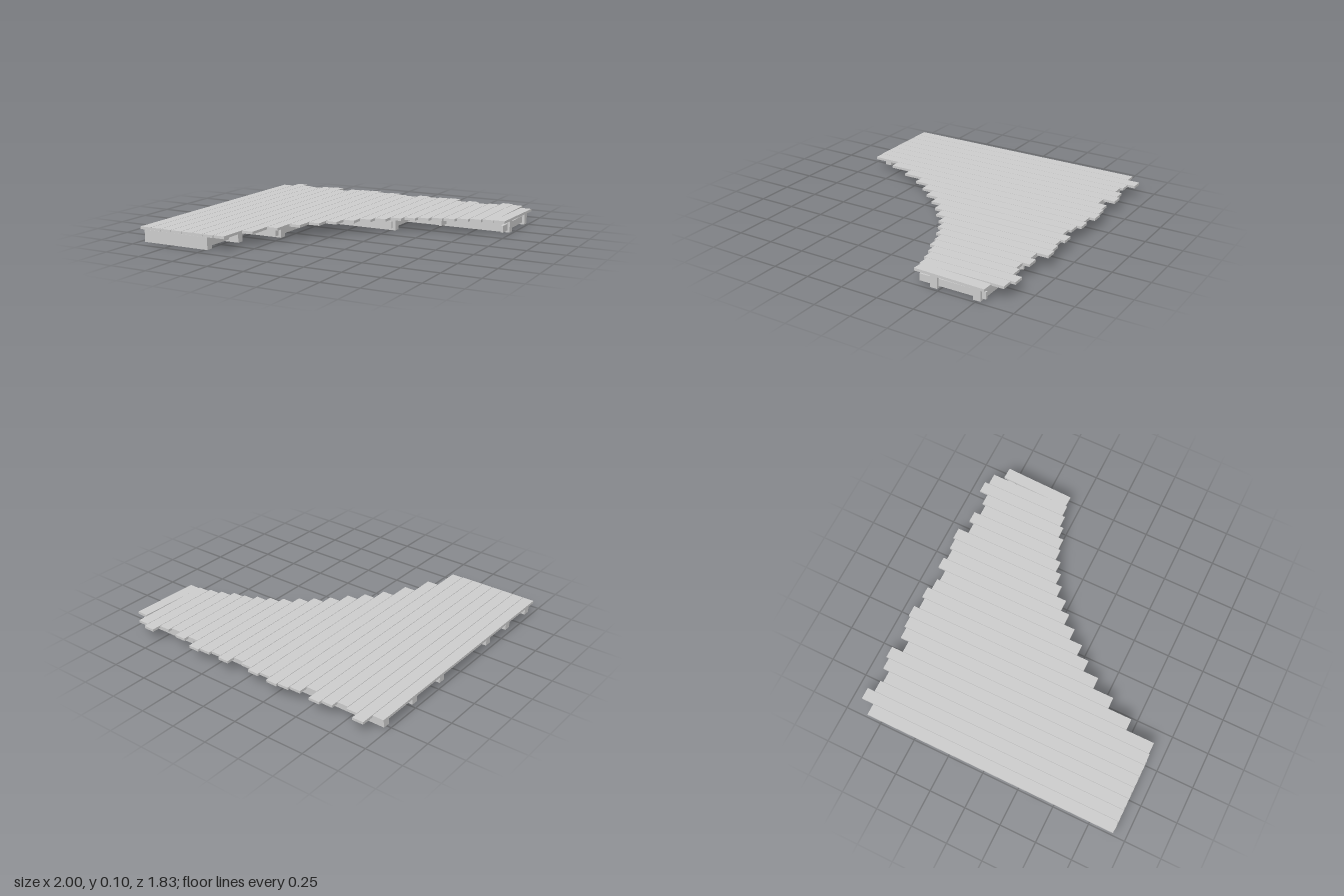
import * as THREE from 'three';

export function createModel() {
  const deck = new THREE.Group();
  deck.name = 'deck';
  const material = new THREE.MeshStandardMaterial({ color: 0xcccccc, flatShading: true });

  // Box given by its extents on each axis
  function beam(name, [x0, x1], [y0, y1], [z0, z1]) {
    const mesh = new THREE.Mesh(new THREE.BoxGeometry(x1 - x0, y1 - y0, z1 - z0), material);
    mesh.position.set((x0 + x1) / 2, (y0 + y1) / 2, (z0 + z1) / 2);
    mesh.name = name;
    deck.add(mesh);
    return mesh;
  }

  // Floor planks: ragged ends at the back, a stepped curve at the front
  const backEnds = [
    -0.83, -0.915, -0.865, -0.845, -0.89, -0.91, -0.83, -0.89, -0.905, -0.917, -0.88, -0.9, -0.87,
    -0.85, -0.905, -0.88, -0.9, -0.915, -0.84, -0.875, -0.83, -0.855, -0.915, -0.885, -0.81,
  ];
  const frontEnds = [
    0.915, 0.915, 0.915, 0.915, 0.915, 0.915, 0.915, 0.91, 0.715, 0.55, 0.405, 0.297, 0.212,
    0.12, 0.042, -0.02, -0.09, -0.135, -0.175, -0.215, -0.232, -0.27, -0.297, -0.318, -0.328,
  ];
  const pitch = 0.0797;
  backEnds.forEach((back, i) => {
    const x = -1 + i * pitch;
    const plank = beam('plank', [x, x + pitch - 0.003], [0.08, 0.097], [back, frontEnds[i]]);
    // The last plank lies slightly askew
    if (i === backEnds.length - 1) {
      plank.position.x = 0.953;
      plank.rotation.y = -0.033;
    }
  });

  // Joists running across under the planks: [centre z, end x]
  const joists = [
    [0.893, -0.485], [0.635, -0.43], [0.385, -0.267],
    [-0.165, 0.287], [-0.46, 0.98], [-0.75, 0.98],
  ];
  for (const [z, end] of joists) {
    beam('joist', [-0.967, end], [0, 0.08], [z - 0.024, z + 0.024]);
  }

  // Thin stringers passing through the joists: [centre x, front end z]
  const stringers = [
    [-0.86, 0.9], [-0.51, 0.9], [-0.295, 0.448], [-0.03, -0.128],
    [0.256, -0.128], [0.518, -0.352], [0.955, -0.352],
  ];
  for (const [x, front] of stringers) {
    beam('stringer', [x - 0.009, x + 0.009], [0.014, 0.06], [-0.8, front]);
  }

  return deck;
}
